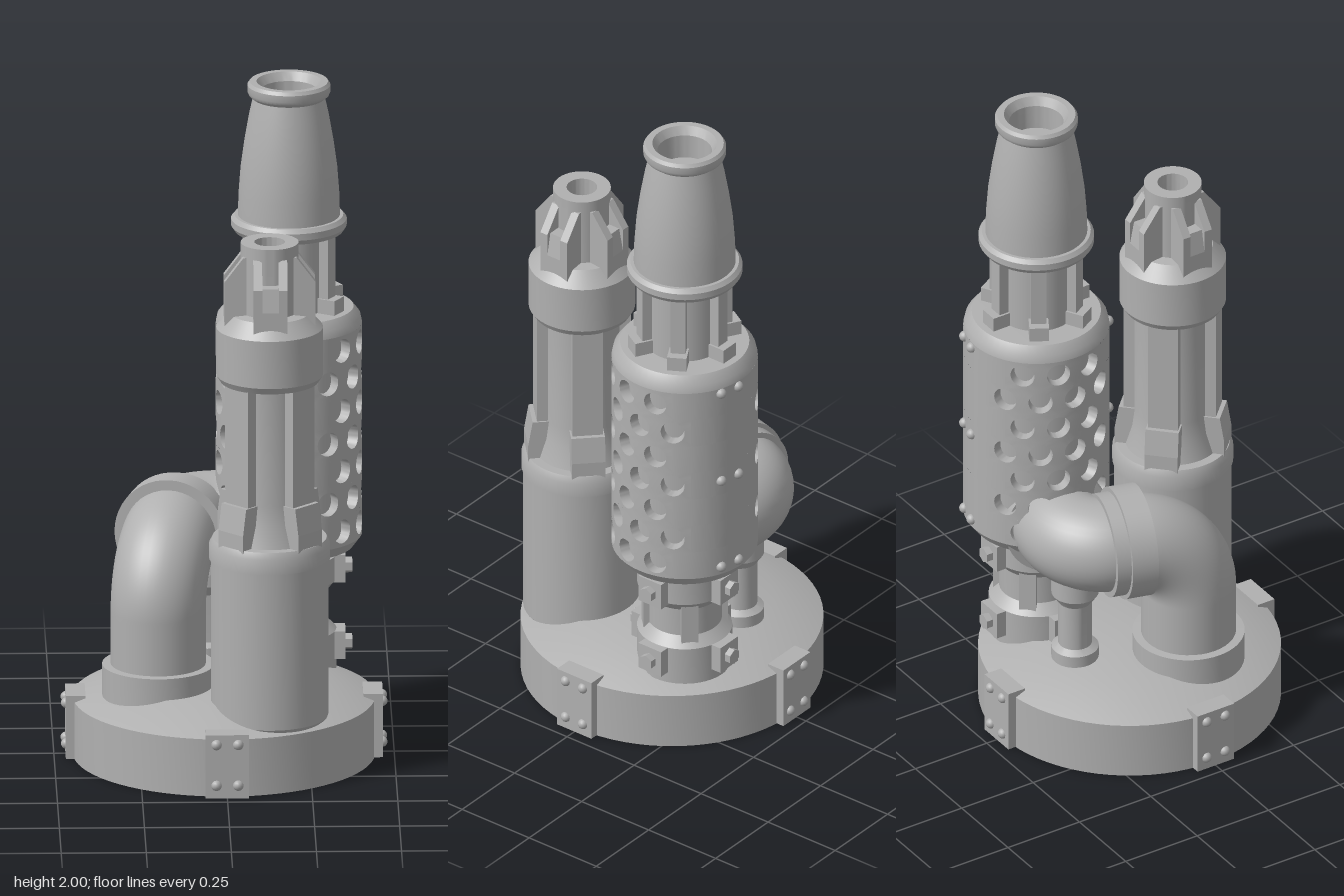
import * as THREE from 'three';
import { mergeGeometries, toCreasedNormals } from 'three/addons/utils/BufferGeometryUtils.js';

const metal = new THREE.MeshStandardMaterial({ color: 0xb0b0b0 });
metal.name = 'plain grey metal';
const V = (x, y, z) => new THREE.Vector3(x, y, z);
const rad = THREE.MathUtils.degToRad;

function add(parent, name, geo, x = 0, y = 0, z = 0) {
  const m = new THREE.Mesh(geo, metal);
  m.name = name;
  m.position.set(x, y, z);
  parent.add(m);
  return m;
}

function group(parent, name, x = 0, y = 0, z = 0, turn = 0) {
  const g = new THREE.Group();
  g.name = name;
  g.position.set(x, y, z);
  g.rotation.y = turn;
  parent.add(g);
  return g;
}

// turned part from [radius, height] pairs, listed bottom to top along the outside
const lathe = (pts, seg = 56) =>
  toCreasedNormals(new THREE.LatheGeometry(pts.map(p => new THREE.Vector2(...p)), seg), 0.5);

// radial plate: outline in (radius, height), centred on its thickness, pointing to +z
function fin(pts, width) {
  const shape = new THREE.Shape(pts.map(p => new THREE.Vector2(...p)));
  const g = new THREE.ExtrudeGeometry(shape, { depth: width, bevelEnabled: false });
  return g.translate(0, 0, -width / 2).rotateY(-Math.PI / 2);
}

const rivet = () => new THREE.SphereGeometry(0.016, 14, 10);

// curved wall cell with one round hole, spanned by three loops
function holeCell(theta, y, halfAngle, halfHeight, r, hole, depth) {
  const n = 32, pos = [];
  const point = (loop, k) => {
    const a = (k % n) * 2 * Math.PI / n, c = Math.cos(a), s = Math.sin(a);
    const m = Math.max(Math.abs(c), Math.abs(s));
    const u = loop === 0 ? halfAngle * c / m : hole * c / r;
    const v = loop === 0 ? halfHeight * s / m : hole * s;
    const R = loop === 2 ? r - depth : r;
    return [R * Math.sin(theta + u), y + v, R * Math.cos(theta + u)];
  };
  for (let l = 0; l < 2; l++) for (let k = 0; k < n; k++) {
    const a = point(l, k), b = point(l, k + 1), c = point(l + 1, k + 1), d = point(l + 1, k);
    pos.push(...a, ...b, ...c, ...a, ...c, ...d);
  }
  const g = new THREE.BufferGeometry();
  g.setAttribute('position', new THREE.Float32BufferAttribute(pos, 3));
  return g;
}

// seven staggered rows of holes on two opposite sides of the drum
function perforatedWall(r, y0, pitch) {
  const parts = [], step = rad(29);
  for (let row = 0; row < 7; row++) {
    const count = row % 2 ? 4 : 3, y = y0 + pitch * (row + 0.5);
    for (const side of [0, Math.PI]) {
      const mid = rad(75) + side;
      for (let i = 0; i < count; i++)
        parts.push(holeCell(mid + (i - (count - 1) / 2) * step, y, step / 2, pitch / 2, r, 0.036, 0.032));
      const plain = new THREE.CylinderGeometry(r, r, pitch, 18, 1, true,
        mid + count * step / 2, Math.PI - count * step).toNonIndexed();
      plain.translate(0, y, 0).deleteAttribute('uv');
      plain.deleteAttribute('normal');
      parts.push(plain);
    }
  }
  return toCreasedNormals(mergeGeometries(parts), 0.5);
}

function buildBase(root) {
  const base = group(root, 'base');
  add(base, 'baseDisc', lathe([[0, 0.1], [0.175, 0.1], [0.175, 0], [0.445, 0], [0.445, 0.175],
    [0.3, 0.235], [0, 0.242]], 72));
  for (let i = 0; i < 4; i++) {
    const b = group(base, 'bracket', 0, 0, 0, i * Math.PI / 2);
    add(b, 'bracketBlock', new THREE.BoxGeometry(0.128, 0.194, 0.058), 0, 0.098, 0.437);
    for (const x of [-0.032, 0.032]) for (const y of [0.04, 0.165])
      add(b, 'bracketRivet', rivet(), x, y, 0.464);
  }
}

function buildFrontTower(root) {
  const t = group(root, 'frontTower', 0.129, 0, 0.235);
  add(t, 'lowerBarrel', lathe([[0, 0.15], [0.15, 0.15], [0.173, 0.19], [0.173, 0.67], [0.178, 0.67],
    [0.178, 0.715], [0.168, 0.735], [0.14, 0.735], [0.122, 0.8], [0.115, 0.86], [0.115, 1.23]]));
  add(t, 'upperCollar', lathe([[0.1, 1.215], [0.145, 1.215], [0.157, 1.235], [0.157, 1.38],
    [0.118, 1.425], [0.08, 1.43]]));
  add(t, 'topTube', lathe([[0.085, 1.4], [0.085, 1.64], [0.045, 1.64], [0.045, 1.58], [0, 1.58]]));
  for (let i = 0; i < 4; i++) {
    const slat = group(t, 'slat', 0, 0, 0, Math.PI / 4 + i * Math.PI / 2);
    add(slat, 'slatPlate', new THREE.BoxGeometry(0.09, 0.5, 0.05), 0, 0.98, 0.114);
    add(slat, 'slatFoot', fin([[0.09, 0.72], [0.165, 0.72], [0.165, 0.78], [0.152, 0.86], [0.09, 0.86]], 0.1));
    const f = group(t, 'topFin', 0, 0, 0, i * Math.PI / 2);
    for (const x of [-0.037, 0.037])
      add(f, 'finCheek', fin([[0.06, 1.38], [0.134, 1.38], [0.134, 1.53], [0.078, 1.605], [0.06, 1.605]], 0.026), x);
    add(f, 'finCentre', fin([[0.06, 1.38], [0.134, 1.38], [0.134, 1.46], [0.12, 1.53], [0.06, 1.53]], 0.05));
  }
}

function buildRearTower(root) {
  const t = group(root, 'rearTower', 0.195, 0, -0.2);
  // bolted neck under the drum
  add(t, 'neck', lathe([[0.14, 0.2], [0.14, 0.32], [0.11, 0.35], [0.11, 0.44], [0.14, 0.475],
    [0.14, 0.55], [0.12, 0.555], [0.12, 0.6]]));
  for (let i = 0; i < 4; i++) {
    const s = group(t, 'neckClamp', 0, 0, 0, i * Math.PI / 2);
    for (const y of [0.278, 0.513]) {
      add(s, 'clampBlock', new THREE.BoxGeometry(0.085, 0.085, 0.06), 0, y, 0.136);
      const bolt = new THREE.CylinderGeometry(0.024, 0.024, 0.024, 6).toNonIndexed();
      bolt.rotateX(Math.PI / 2).computeVertexNormals();
      add(s, 'clampBolt', bolt, 0, y, 0.174);
    }
    const bar = group(t, 'neckBar', 0, 0, 0, Math.PI / 4 + i * Math.PI / 2);
    add(bar, 'neckBarPlate', new THREE.BoxGeometry(0.05, 0.22, 0.03), 0, 0.395, 0.11);
  }
  // drum with hollow skin and inner core
  const y0 = 0.614, pitch = 0.0925, y1 = y0 + 7 * pitch;
  add(t, 'drumSkin', perforatedWall(0.215, y0, pitch));
  add(t, 'drumCore', new THREE.CylinderGeometry(0.184, 0.184, 0.7, 56), 0, 0.94, 0);
  add(t, 'drumBottom', lathe([[0, 0.58], [0.19, 0.58], [0.215, y0]]));
  add(t, 'drumTop', lathe([[0.215, y1], [0.21, 1.285], [0.19, 1.31], [0, 1.312]]));
  for (const a of [158, 175, 338, 355]) for (const y of [0.64, 0.94, 1.245])
    add(t, 'drumRivet', rivet(), 0.215 * Math.sin(rad(a)), y, 0.215 * Math.cos(rad(a)));
  // ribbed column
  add(t, 'column', new THREE.CylinderGeometry(0.115, 0.115, 0.27, 48), 0, 1.43, 0);
  for (let i = 0; i < 6; i++) {
    const rib = group(t, 'rib', 0, 0, 0, i * Math.PI / 3);
    add(rib, 'ribBar', new THREE.BoxGeometry(0.045, 0.25, 0.04), 0, 1.43, 0.123);
    add(rib, 'ribFoot', new THREE.BoxGeometry(0.058, 0.05, 0.07), 0, 1.33, 0.133);
  }
  // tapered nozzle with open mouth
  add(t, 'nozzle', lathe([[0.1, 1.545], [0.16, 1.545], [0.17, 1.56], [0.17, 1.58], [0.16, 1.592], [0.15, 1.592],
    [0.148, 1.66], [0.142, 1.74], [0.131, 1.82], [0.117, 1.9], [0.106, 1.95], [0.118, 1.96], [0.122, 1.97],
    [0.122, 1.99], [0.115, 2], [0.095, 2], [0.08, 1.975], [0.078, 1.9], [0, 1.9]]));
}

// smooth quarter bend around a corner point
function bend(a, corner, b) {
  return new THREE.CubicBezierCurve3(a, a.clone().lerp(corner, 0.56), b.clone().lerp(corner, 0.56), b);
}

function buildPipe(root) {
  const p = group(root, 'pipe');
  const x = -0.195, z = 0.08, y = 0.65, dx = 0.26, dz = -0.966;
  const along = t => V(x + dx * t, y, z + dz * t);
  const end = V(0.03, y, -0.225), into = V(0.966, 0, 0.26);
  const path = new THREE.CurvePath();
  path.add(new THREE.LineCurve3(V(x, 0.2, z), V(x, y - 0.19, z)));
  path.add(bend(V(x, y - 0.19, z), V(x, y, z), along(0.19)));
  path.add(new THREE.LineCurve3(along(0.19), along(0.23)));
  path.add(bend(along(0.23), V(-0.104, y, -0.261), end));
  path.add(new THREE.LineCurve3(end, end.clone().addScaledVector(into, 0.1)));
  add(p, 'elbow', new THREE.TubeGeometry(path, 90, 0.14, 40));
  add(p, 'pipeFoot', lathe([[0.165, 0.17], [0.165, 0.3], [0.13, 0.302]]), x, 0, z);
  // flanges across the pipe
  const flange = (name, r, h, at, dir) => {
    const m = add(p, name, new THREE.CylinderGeometry(r, r, h, 48), at.x, at.y, at.z);
    m.quaternion.setFromUnitVectors(V(0, 1, 0), dir.clone().normalize());
  };
  flange('wideFlange', 0.168, 0.08, along(0.185), V(dx, 0, dz));
  flange('narrowFlange', 0.155, 0.045, along(0.245), V(dx, 0, dz));
  flange('endFlange', 0.163, 0.05, end.clone().addScaledVector(into, 0.035), into);
  // thin drain pipe below the bend
  add(p, 'drainPipe', lathe([[0.07, 0.22], [0.07, 0.272], [0.05, 0.285], [0.05, 0.43], [0.07, 0.46],
    [0.07, 0.56]], 32), -0.045, 0, -0.22);
}

export function createModel() {
  const root = new THREE.Group();
  root.name = 'pipeTowers';
  buildBase(root);
  buildFrontTower(root);
  buildRearTower(root);
  buildPipe(root);
  return root;
}
